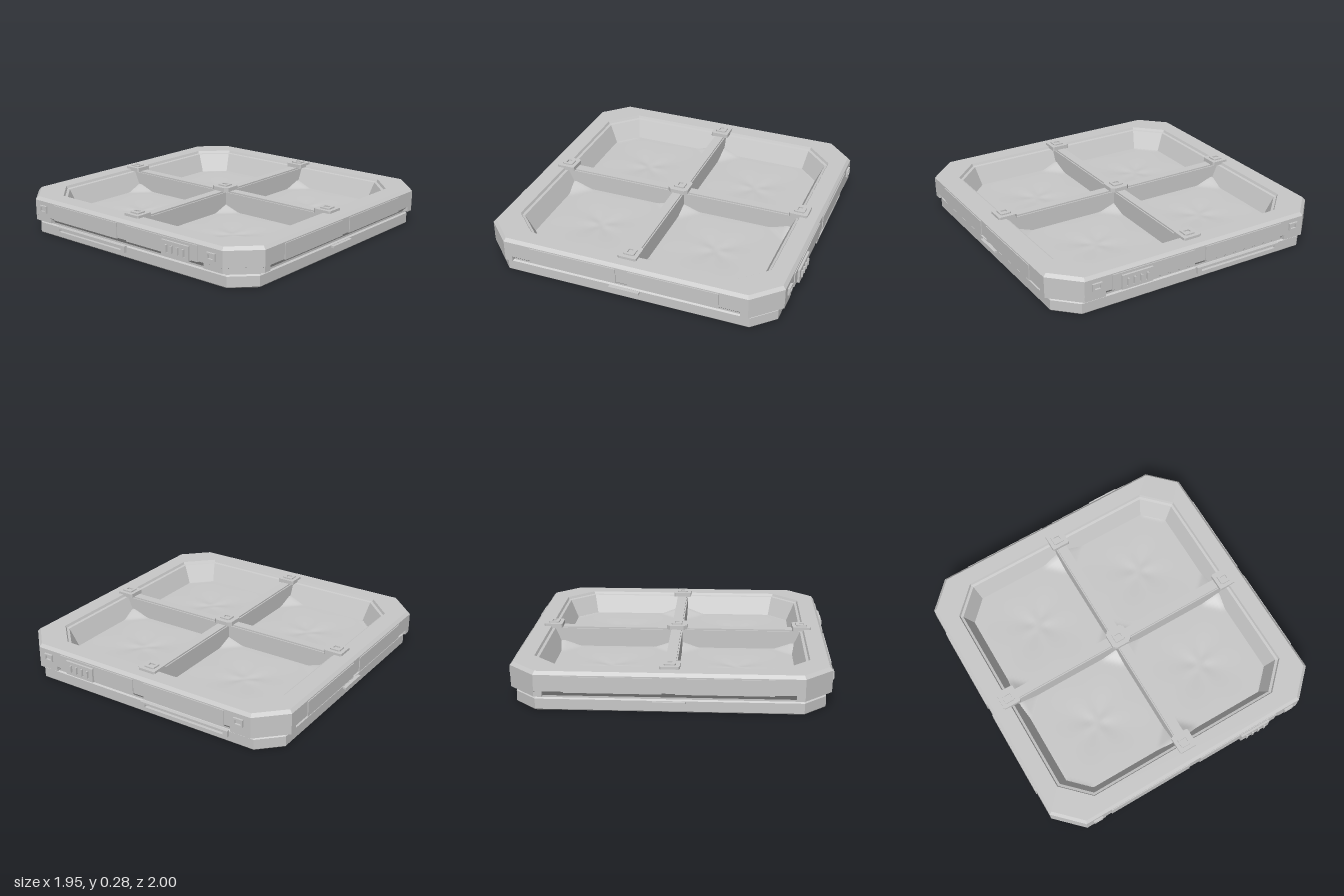
import * as THREE from 'three';

// Chamfered-square outline with half size h and corner cut c
const octagon = (h, c) => [
  [h, -h + c], [h, h - c], [h - c, h], [-h + c, h],
  [-h, h - c], [-h, -h + c], [-h + c, -h], [h - c, -h],
];

// Flat-faced skin through octagon sections given as [half size, corner cut, height]
function loft(sections) {
  const pos = [];
  for (let s = 0; s < sections.length - 1; s++) {
    const [h0, c0, y0] = sections[s], [h1, c1, y1] = sections[s + 1];
    const lower = octagon(h0, c0), upper = octagon(h1, c1);
    for (let i = 0; i < 8; i++) {
      const j = (i + 1) % 8;
      const a = [lower[i][0], y0, lower[i][1]], b = [lower[j][0], y0, lower[j][1]];
      const c = [upper[j][0], y1, upper[j][1]], d = [upper[i][0], y1, upper[i][1]];
      pos.push(...a, ...d, ...c, ...a, ...c, ...b);
    }
  }
  const geo = new THREE.BufferGeometry();
  geo.setAttribute('position', new THREE.Float32BufferAttribute(pos, 3));
  geo.computeVertexNormals();
  return geo;
}

const polygon = (points) => new THREE.Shape(points.map(([x, y]) => new THREE.Vector2(x, y)));
const rectangle = (x0, y0, x1, y1) => [[x0, y0], [x1, y0], [x1, y1], [x0, y1]];

// Plate with rectangular or polygonal holes, extruded along +z
function plate(outline, holes, depth) {
  const shape = polygon(outline);
  for (const hole of holes) shape.holes.push(polygon(hole));
  return new THREE.ExtrudeGeometry(shape, { depth, bevelEnabled: false });
}

// The same plate lying flat, with its underside at y
const flatPlate = (outline, holes, height, y) =>
  plate(outline, holes, height).rotateX(Math.PI / 2).translate(0, y + height, 0);

export function createModel() {
  const root = new THREE.Group();
  const grey = new THREE.MeshStandardMaterial({ color: 0xc8c8c8 });
  grey.name = 'light grey';

  const add = (name, geo, parent = root) => {
    const mesh = new THREE.Mesh(geo, grey);
    mesh.name = name;
    parent.add(mesh);
    return mesh;
  };
  const box = (name, x0, x1, y0, y1, z0, z1, parent) =>
    add(name, new THREE.BoxGeometry(x1 - x0, y1 - y0, z1 - z0)
      .translate((x0 + x1) / 2, (y0 + y1) / 2, (z0 + z1) / 2), parent);

  // Base, undercut groove, rim and sloping inner walls in one skin
  add('trayBody', loft([
    [0, 0, 0], [0.93, 0.132, 0], [0.935, 0.135, 0.006], [0.935, 0.135, 0.07],
    [0.925, 0.13, 0.078], [0.925, 0.13, 0.09], [0.962, 0.165, 0.125],
    [0.97, 0.17, 0.13], [0.97, 0.17, 0.232], [0.952, 0.16, 0.252],
    [0.843, 0.172, 0.252], [0.836, 0.168, 0.236], [0.82, 0.16, 0.232], [0.757, 0.125, 0.09],
  ]));

  // Floor: slightly creased towards the middle of each cell, rising at the cell corners
  const floor = new THREE.PlaneGeometry(1.56, 1.56, 80, 80).rotateX(-Math.PI / 2);
  const p = floor.attributes.position;
  for (let i = 0; i < p.count; i++) {
    const x = Math.abs(p.getX(i)), z = Math.abs(p.getZ(i));
    const u = x - 0.4, v = z - 0.4, r = Math.hypot(u, v);
    const crease = 0.005 * Math.cos(4 * Math.atan2(v, u)) * Math.exp(-r * 7) * Math.min(1, r * 15);
    const edge = (t) => Math.min(Math.max(t - 0.035, 0), Math.max(0.76 - t, 0));
    const rise = Math.max(0, 0.115 - edge(x) - edge(z)) * 0.35;
    p.setY(i, 0.11 - 0.01 * Math.exp(-r * r * 30) + crease + rise);
  }
  floor.computeVertexNormals();
  add('floor', floor);

  // Crossed dividers with a narrower raised top
  box('dividerAcross', -0.83, 0.83, 0.08, 0.232, -0.038, 0.038);
  box('dividerAcrossTop', -0.83, 0.83, 0.232, 0.242, -0.03, 0.03);
  box('dividerAlong', -0.038, 0.038, 0.08, 0.2321, -0.83, 0.83);
  box('dividerAlongTop', -0.03, 0.03, 0.232, 0.2421, -0.83, 0.83);

  // Connector pads: four on the rim and one in the centre
  const pads = [[0, 0, 0.068, 0.022], [0.83, 0, 0.061, 0.008], [-0.83, 0, 0.061, 0.008],
    [0, 0.83, 0.061, 0.008], [0, -0.83, 0.061, 0.008]];
  for (const [x, z, h, c] of pads) {
    const pad = new THREE.Group();
    pad.name = 'connectorPad';
    pad.position.set(x, 0, z);
    root.add(pad);
    add('padBase', flatPlate(octagon(h, c), [], 0.028, 0.24), pad);
    add('padCollar', flatPlate(octagon(0.036, 0.008),
      [rectangle(-0.02, -0.014, 0.02, 0.014)], 0.009, 0.268), pad);
  }

  // Corner skirts hanging below the rim
  const skirt = [[0.66, 0.969], [0.8, 0.969], [0.969, 0.8], [0.969, 0.75],
    [0.91, 0.75], [0.91, 0.79], [0.79, 0.91], [0.66, 0.91]];
  for (const sx of [1, -1]) for (const sz of [1, -1]) {
    add('cornerSkirt', flatPlate(skirt.map(([x, z]) => [x * sx, z * sz]), [], 0.036, 0.096));
  }

  // Side cladding on left and right
  for (const s of [1, -1]) {
    const side = new THREE.Group();
    side.name = s > 0 ? 'leftSide' : 'rightSide';
    side.rotation.y = s * Math.PI / 2;
    root.add(side);
    for (const [a, b] of [[-0.62, -0.04], [0.04, 0.62]]) {
      box('sidePanel', a, b, 0.126, 0.225, 0.965, 0.976, side);
    }
    box('sideTab', -0.1, 0.1, 0.055, 0.068, 0.93, 0.957, side);
  }

  // Front and back details, mirrored in z by building each at its own sign
  for (const s of [1, -1]) {
    const name = s > 0 ? 'front' : 'back';
    const face = new THREE.Group();
    face.name = name + 'Side';
    root.add(face);
    const place = (label, x0, x1, y0, y1, z0, z1) =>
      box(label, x0, x1, y0, y1, Math.min(s * z0, s * z1), Math.max(s * z0, s * z1), face);
    const framed = (label, outline, holes, z0, depth) =>
      add(label, plate(outline, holes, depth).translate(0, 0, s > 0 ? z0 : -z0 - depth), face);

    for (const [a, b] of [[-0.62, -0.04], [0.04, 0.62]]) {
      place(name + 'Panel', a, b, 0.126, 0.225, 0.965, 0.976);
    }
    // Long slotted rail on the base
    framed(name + 'Rail', rectangle(-0.63, 0.036, 0, 0.078),
      [rectangle(-0.6, 0.048, -0.03, 0.066)], 0.93, 0.025);
    // Vent housing with four upright ribs
    framed(name + 'Vent', rectangle(0.347, 0.118, 0.56, 0.21),
      [0.388, 0.432, 0.477, 0.521].map((x) => rectangle(x - 0.011, 0.138, x + 0.011, 0.188)), 0.965, 0.025);
    for (const x of [0.388, 0.432, 0.477, 0.521]) {
      place('ventRib', x - 0.006, x + 0.006, 0.14, 0.186, 0.965, 1);
    }
    // Small framed clips near the corners
    for (const x of [-0.72, 0.72]) {
      framed('clip', rectangle(x - 0.032, 0.158, x + 0.032, 0.205),
        [rectangle(x - 0.02, 0.168, x + 0.02, 0.195)], 0.965, 0.018);
    }
  }
  return root;
}
